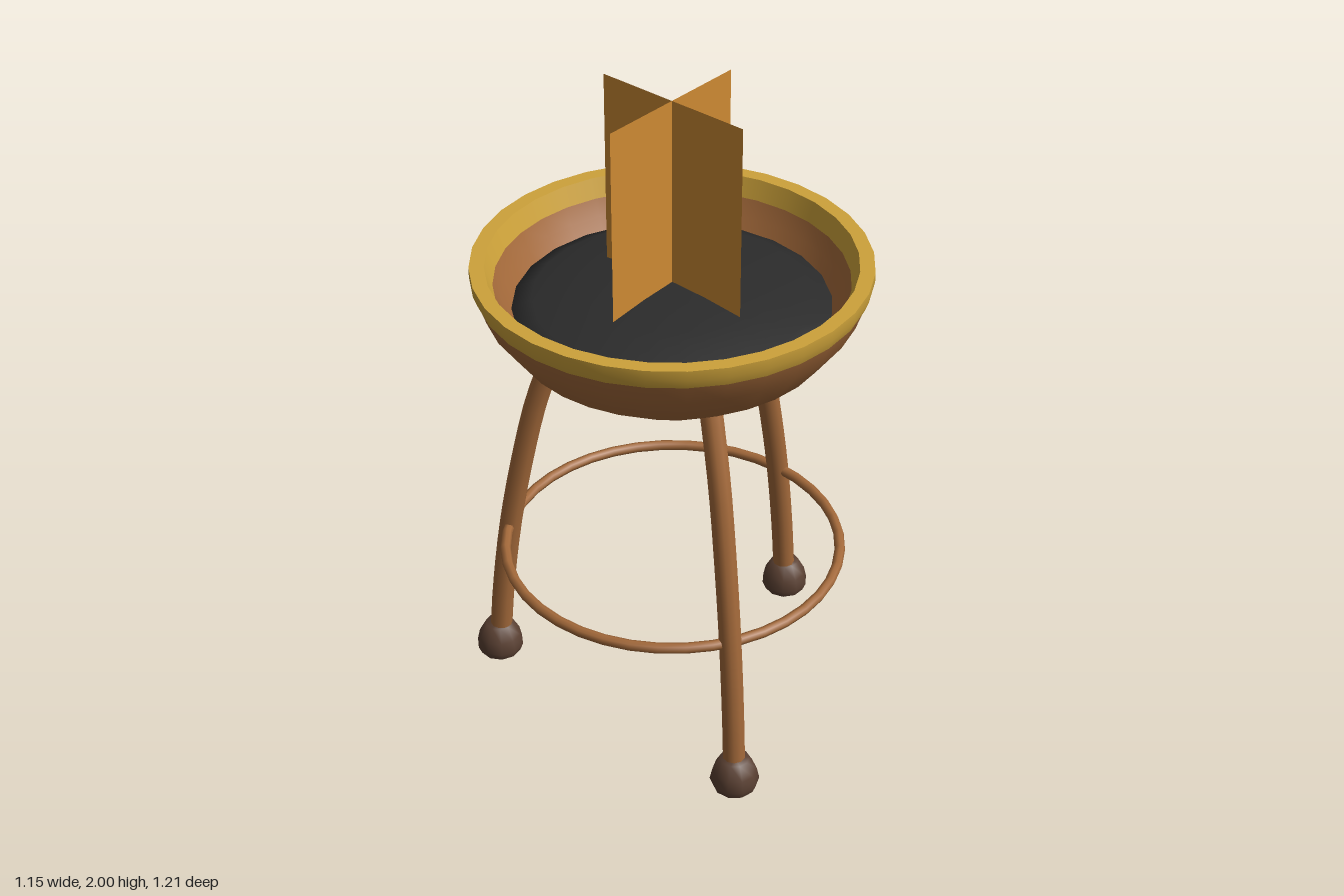
import * as THREE from 'three';

const material = (name, color, side = THREE.FrontSide) => {
  const m = new THREE.MeshStandardMaterial({ color, side });
  m.name = name;
  return m;
};

const CENTRE_Z = 0.03;

export function createModel() {
  const bronze = material('bronze', 0xa3693a);
  const gold = material('gold', 0xcda23a);
  const coal = material('coal', 0x2b2b2b);
  const iron = material('dark foot', 0x5a4032);
  const flame = material('flame', 0xcf8b34, THREE.DoubleSide);

  const model = new THREE.Group();
  model.name = 'brazier';
  const body = new THREE.Group();
  body.name = 'body';
  body.position.z = CENTRE_Z;
  model.add(body);

  const add = (parent, name, geometry, mat) => {
    const mesh = new THREE.Mesh(geometry, mat);
    mesh.name = name;
    parent.add(mesh);
    return mesh;
  };
  const lathe = (points, sides) =>
    new THREE.LatheGeometry(points.map(([r, y]) => new THREE.Vector2(r, y)), sides);

  // Bowl: outer shell from the base up, and the inner wall down to the coals
  add(body, 'bowl', lathe([[0, 1.1], [0.137, 1.105], [0.31, 1.164], [0.46, 1.27],
    [0.537, 1.375], [0.562, 1.445]], 32), bronze);
  add(body, 'bowlInside', lathe([[0.51, 1.445], [0.485, 1.39], [0.44, 1.32]], 32), bronze);

  // Rim: separate bands keep the edges sharp
  const rim = new THREE.Group();
  rim.name = 'rim';
  body.add(rim);
  add(rim, 'rimOuter', lathe([[0.562, 1.44], [0.573, 1.47], [0.573, 1.5]], 32), gold);
  add(rim, 'rimTop', lathe([[0.573, 1.5], [0.53, 1.5]], 32), gold);
  add(rim, 'rimInner', lathe([[0.53, 1.5], [0.506, 1.435]], 32), gold);
  add(rim, 'rimBottom', lathe([[0.506, 1.44], [0.562, 1.44]], 32), gold);

  // Shallow heap of coals
  add(body, 'coals', lathe([[0.45, 1.335], [0.458, 1.36], [0.4, 1.387], [0.25, 1.412],
    [0.12, 1.424], [0, 1.428]], 24), coal);

  // Flames: two crossed upright planes
  for (const turn of [0, Math.PI / 2]) {
    const plane = add(body, 'flame', new THREE.PlaneGeometry(0.5, 0.6), flame);
    plane.position.y = 1.7;
    plane.rotation.y = turn;
  }

  // Three curved legs with domed feet, the first one at the back
  const legCurve = new THREE.CatmullRomCurve3([[0.315, 1.23], [0.345, 1.16], [0.408, 0.98],
    [0.464, 0.74], [0.508, 0.5], [0.54, 0.25], [0.556, 0.06]]
    .map(([r, y]) => new THREE.Vector3(0, y, -r)));
  const legGeometry = new THREE.TubeGeometry(legCurve, 16, 0.034, 10);
  const footGeometry = lathe([[0.064, 0], [0.074, 0.025], [0.066, 0.062],
    [0.043, 0.105], [0, 0.107]], 10);
  const soleGeometry = new THREE.CircleGeometry(0.064, 10).rotateX(Math.PI / 2);
  for (let i = 0; i < 3; i++) {
    const leg = new THREE.Group();
    leg.name = 'leg';
    leg.rotation.y = (i * Math.PI * 2) / 3;
    body.add(leg);
    add(leg, 'legBar', legGeometry, bronze);
    add(leg, 'foot', footGeometry, iron).position.z = -0.56;
    add(leg, 'sole', soleGeometry, iron).position.z = -0.56;
  }

  // Ring that braces the legs
  const ring = add(body, 'braceRing', new THREE.TorusGeometry(0.508, 0.016, 8, 40), bronze);
  ring.rotation.x = Math.PI / 2;
  ring.position.y = 0.505;

  return model;
}
